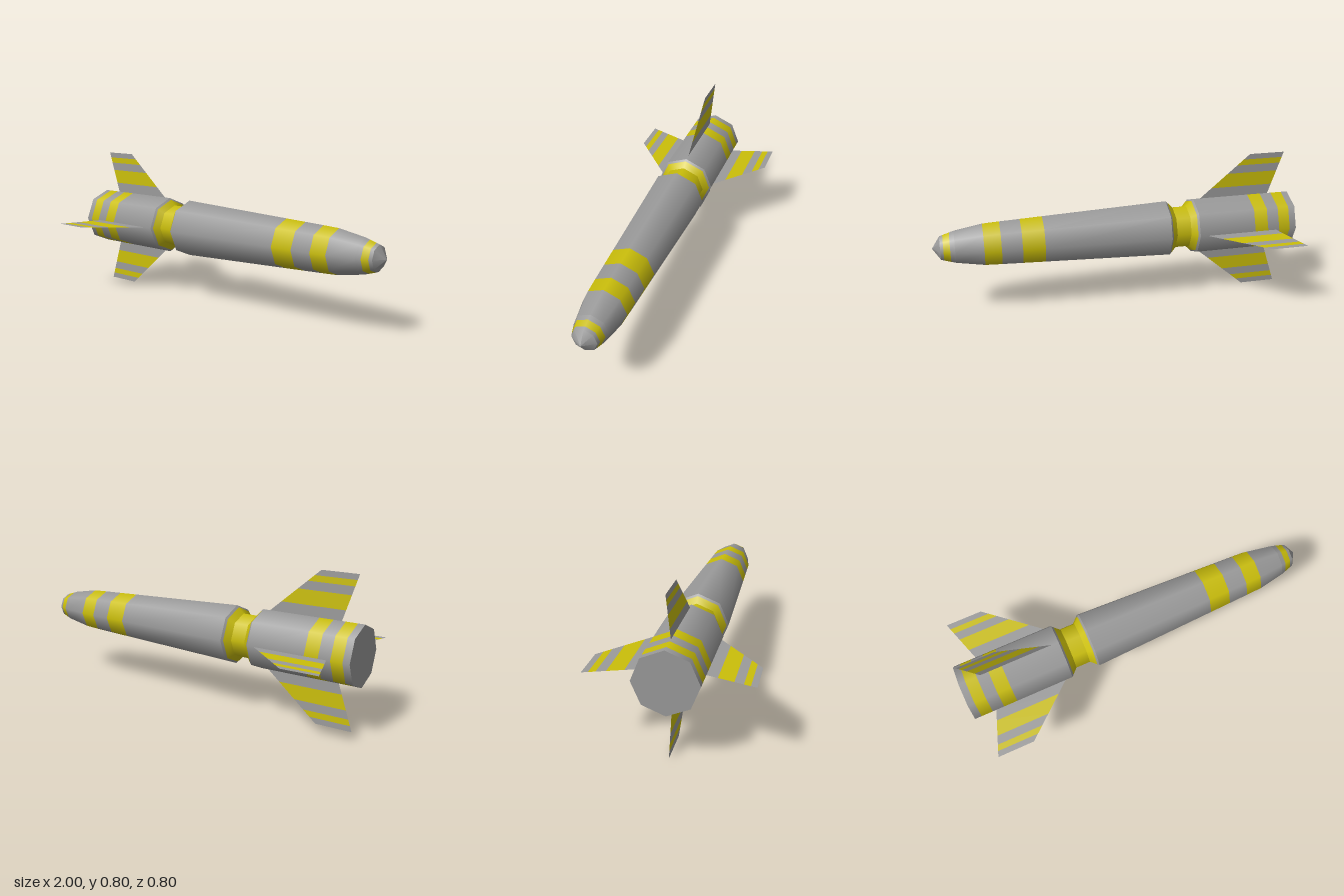
import * as THREE from 'three';

const SIDES = 8;
const AXIS_Y = 0.4;

export function createModel() {
  const grey = new THREE.MeshStandardMaterial({ color: 0x9b9b9b, side: THREE.DoubleSide });
  grey.name = 'metal grey';
  const yellow = new THREE.MeshStandardMaterial({ color: 0xcbbf0a, side: THREE.DoubleSide });
  yellow.name = 'marking yellow';

  const model = new THREE.Group();
  model.name = 'missile';
  const add = (parent, name, geometry, material) => {
    const mesh = new THREE.Mesh(geometry, material);
    mesh.name = name;
    parent.add(mesh);
    return mesh;
  };

  // Octagonal hull, built along x from [start x, radius, colour, part name] rings
  const hull = new THREE.Group();
  hull.name = 'hull';
  hull.position.y = AXIS_Y;
  model.add(hull);
  const rings = [
    [-1.0, 0.16, grey, 'tailRim'],
    [-0.963, 0.16, yellow, 'tailStripeRear'],
    [-0.9, 0.16, grey, 'tailGap'],
    [-0.835, 0.16, yellow, 'tailStripeFront'],
    [-0.76, 0.16, grey, 'tailBody'],
    [-0.44, 0.16, grey, 'neckRearRim'],
    [-0.43, 0.15, yellow, 'neckRearCone'],
    [-0.4, 0.12, yellow, 'neck'],
    [-0.32, 0.12, yellow, 'neckFrontCone'],
    [-0.29, 0.15, grey, 'neckFrontRim'],
    [-0.28, 0.16, grey, 'mainBody'],
    [0.41, 0.1324, yellow, 'bodyStripeRear'],
    [0.53, 0.1276, grey, 'bodyGap'],
    [0.64, 0.1232, yellow, 'bodyStripeFront'],
    [0.73, 0.119, grey, 'noseTaper'],
    [0.88, 0.092, grey, 'noseCone'],
    [0.905, 0.084, yellow, 'noseStripe'],
    [0.94, 0.073, grey, 'noseFront'],
    [0.957, 0.067, grey, 'noseTip'],
    [1.0, 0],
  ];
  for (let i = 0; i < rings.length - 1; i++) {
    const [x0, r0, material, name] = rings[i];
    const [x1, r1] = rings[i + 1];
    const band = new THREE.LatheGeometry(
      [new THREE.Vector2(r0, x0), new THREE.Vector2(r1, x1)], SIDES);
    add(hull, name, band.rotateZ(-Math.PI / 2), material);
  }

  // Flat closing plate at the tail
  const cap = new THREE.CircleGeometry(0.16, SIDES).rotateY(-Math.PI / 2);
  add(hull, 'tailCap', cap.translate(-1, 0, 0), grey);

  // Four sheet fins, each split into stripes from root to tip
  const rearEdge = (r) => -0.88 - (r - 0.16) / 3;
  const frontEdge = (r) => -0.48 - (r - 0.16) * (0.28 / 0.24);
  const cuts = [0.16, 0.215, 0.293, 0.338, 0.37, 0.4];
  for (let f = 0; f < 4; f++) {
    const fin = new THREE.Group();
    fin.name = `fin${f + 1}`;
    fin.rotation.x = f * Math.PI / 2;
    hull.add(fin);
    for (let i = 0; i < cuts.length - 1; i++) {
      const a = cuts[i], b = cuts[i + 1];
      const strip = new THREE.Shape([
        new THREE.Vector2(rearEdge(a), a),
        new THREE.Vector2(frontEdge(a), a),
        new THREE.Vector2(frontEdge(b), b),
        new THREE.Vector2(rearEdge(b), b),
      ]);
      add(fin, i % 2 ? 'finStripe' : 'finPanel', new THREE.ShapeGeometry(strip), i % 2 ? yellow : grey);
    }
  }

  return model;
}
